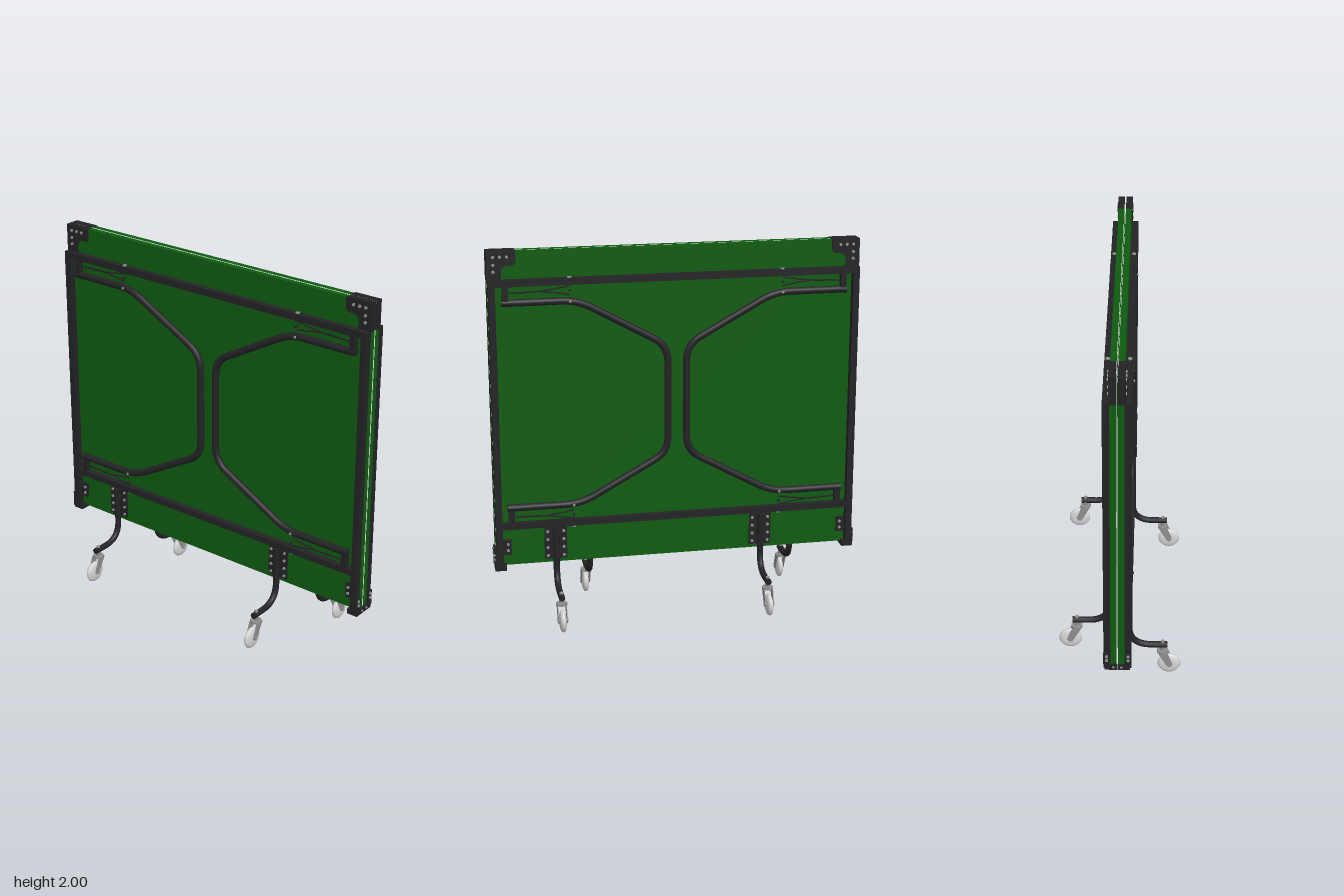
import * as THREE from 'three';

const mat = (name, color) => Object.assign(new THREE.MeshStandardMaterial({ color }), { name });
const green = mat('table green', 0x0f5a10);
const black = mat('black steel', 0x232326);
const metal = mat('bolt metal', 0x8f8f8f);
const wheelGrey = mat('wheel light grey', 0xd6d6d6);
const white = mat('line white', 0xf0f0f0);

function add(parent, name, geometry, material, x = 0, y = 0, z = 0) {
  const mesh = new THREE.Mesh(geometry, material);
  mesh.name = name;
  mesh.position.set(x, y, z);
  parent.add(mesh);
  return mesh;
}

// box given by its lower and upper corners
function box(parent, name, material, x0, x1, y0, y1, z0, z1) {
  return add(parent, name, new THREE.BoxGeometry(x1 - x0, y1 - y0, Math.abs(z1 - z0)), material,
    (x0 + x1) / 2, (y0 + y1) / 2, (z0 + z1) / 2);
}

// short bolt head pointing along one axis
function bolt(parent, x, y, z, axis = 'x', r = 0.008, h = 0.008, material = metal) {
  const m = add(parent, 'bolt', new THREE.CylinderGeometry(r, r, h, 10), material, x, y, z);
  if (axis === 'x') m.rotation.z = Math.PI / 2;
  if (axis === 'z') m.rotation.x = Math.PI / 2;
  return m;
}

// straight runs joined by rounded corners; points are [x, y, z]
function bentTube(points, bend, radius, segments = 90) {
  const p = points.map((a) => new THREE.Vector3(...a));
  const path = new THREE.CurvePath();
  let from = p[0];
  for (let i = 1; i < p.length - 1; i++) {
    const a = p[i].clone().add(p[i - 1].clone().sub(p[i]).setLength(bend));
    const b = p[i].clone().add(p[i + 1].clone().sub(p[i]).setLength(bend));
    path.add(new THREE.LineCurve3(from, a));
    path.add(new THREE.QuadraticBezierCurve3(a, p[i], b));
    from = b;
  }
  path.add(new THREE.LineCurve3(from, p[p.length - 1]));
  return new THREE.TubeGeometry(path, segments, radius, 12, false);
}

// L-shaped plate wrapping a top corner
function topBracket(side, s) {
  const outline = [[0.83, 2], [0.98, 2], [0.98, 1.855], [0.905, 1.855], [0.905, 1.905], [0.885, 1.925], [0.845, 1.925], [0.83, 1.94]];
  const shape = new THREE.Shape(outline.map(([z, y]) => new THREE.Vector2(-s * z, y)));
  const geo = new THREE.ExtrudeGeometry(shape, { depth: 0.036, bevelEnabled: false }).rotateY(Math.PI / 2);
  add(side, 'topCornerBracket', geo, black, 0.004, 0, 0);
  for (const [z, y] of [[0.945, 1.97], [0.91, 1.97], [0.875, 1.97], [0.945, 1.93], [0.945, 1.895]])
    bolt(side, 0.042, y, s * z);
}

function bottomBracket(side, s) {
  box(side, 'bottomCornerCap', black, 0.002, 0.065, 0.288, 0.32, s * 0.925, s * 0.985);
  box(side, 'bottomCornerPlate', black, 0.036, 0.071, 0.3, 0.39, s * 0.97, s * 0.984);
  box(side, 'bottomSidePlate', black, 0.034, 0.046, 0.37, 0.455, s * 0.895, s * 0.945);
  for (const y of [0.35, 0.375]) bolt(side, 0.054, y, s * 0.986, 'z');
  bolt(side, 0.02, 0.306, s * 0.986, 'z', 0.006);
  for (const y of [0.395, 0.43]) bolt(side, 0.048, y, s * 0.913);
}

// folded U-shaped leg with its hinge posts and thin folding stays
function foldedLeg(side, s) {
  const x = 0.053;
  const half = [[0.905, 1.735], [0.52, 1.735], [0.05, 1.475]];
  const all = [...half, ...half.slice().reverse().map(([z, y]) => [z, 2.37 - y])];
  add(side, 'foldedLeg', bentTube(all.map(([z, y]) => [x, y, s * z]), 0.085, 0.019), black);
  for (const flip of [false, true]) {
    const Y = (y) => (flip ? 2.37 - y : y);
    add(side, 'legEndCap', new THREE.CylinderGeometry(0.019, 0.019, 0.008, 12).rotateX(Math.PI / 2), black, x, Y(1.735), s * 0.905);
    add(side, 'hingePost', new THREE.BoxGeometry(0.03, 0.1, 0.03), black, x, Y(1.78), s * 0.89);
    for (const end of [1.812, 1.768]) {
      const stay = new THREE.CatmullRomCurve3([[0.87, 1.785], [0.72, 1.79], [0.56, end]]
        .map(([z, y]) => new THREE.Vector3(x, Y(y), s * z)));
      add(side, 'foldingStay', new THREE.TubeGeometry(stay, 12, 0.004, 6), black);
    }
    bolt(side, 0.064, Y(1.79), s * 0.56, 'x', 0.006, 0.022, black);
    bolt(side, x, Y(1.857), s * 0.56, 'y', 0.011, 0.008);
    bolt(side, 0.073, Y(1.735), s * 0.56, 'x', 0.007, 0.006);
  }
}

// curved arm bolted to the panel, carrying a swivel wheel
function casterArm(side, z) {
  const arm = new THREE.Group();
  arm.name = 'casterArm';
  arm.position.z = z;
  side.add(arm);
  box(arm, 'mountingPlate', black, 0.034, 0.042, 0.33, 0.505, -0.06, 0.06);
  for (const s of [-1, 1])
    for (const y of [0.35, 0.395, 0.44, 0.485]) bolt(arm, 0.044, y, s * 0.043);
  add(arm, 'armTube', bentTube([[0.054, 0.505, 0], [0.054, 0.185, 0], [0.253, 0.185, 0]], 0.115, 0.017, 50), black);
  bolt(arm, 0.054, 0.505, 0, 'y', 0.017, 0.003, black);
  bolt(arm, 0.253, 0.185, 0, 'x', 0.017, 0.003, black);
  bolt(arm, 0.23, 0.204, 0, 'y', 0.01, 0.012);
  bolt(arm, 0.23, 0.162, 0, 'y', 0.014, 0.022, metal);
  bolt(arm, 0.23, 0.146, 0, 'y', 0.031, 0.012, metal);

  // fork cheeks slope outward to the axle
  const cheek = new THREE.Shape([[0.205, 0.145], [0.255, 0.145], [0.284, 0.068], [0.272, 0.05], [0.255, 0.054]]
    .map(([x, y]) => new THREE.Vector2(x, y)));
  for (const s of [-1, 1])
    add(arm, 'forkCheek', new THREE.ExtrudeGeometry(cheek, { depth: 0.004, bevelEnabled: false }), metal, 0, 0, s * 0.023 - 0.002);
  bolt(arm, 0.266, 0.066, 0, 'z', 0.008, 0.058, metal);

  // wheel with a rounded, tapering tread
  const profile = [[0, -0.019], [0.025, -0.018], [0.045, -0.014], [0.056, -0.009], [0.061, 0],
    [0.056, 0.009], [0.045, 0.014], [0.025, 0.018], [0, 0.019]].map(([r, y]) => new THREE.Vector2(r, y));
  add(arm, 'wheel', new THREE.LatheGeometry(profile, 32).rotateX(Math.PI / 2), wheelGrey, 0.266, 0.062, 0);
}

function tableHalf() {
  const side = new THREE.Group();
  side.name = 'tableHalf';
  box(side, 'tablePanel', green, 0.004, 0.035, 0.31, 1.997, -0.975, 0.975);
  // playing lines on the inner face
  for (const s of [-1, 1]) box(side, 'sideLine', white, 0.002, 0.004, 0.31, 1.997, s * 0.955, s * 0.975);
  box(side, 'endLine', white, 0.002, 0.004, 1.977, 1.997, -0.955, 0.955);
  // steel frame on the outer face
  box(side, 'upperRail', black, 0.035, 0.07, 1.82, 1.855, -0.975, 0.975);
  box(side, 'lowerRail', black, 0.035, 0.07, 0.518, 0.551, -0.945, 0.945);
  for (const s of [-1, 1]) {
    box(side, 'framePost', black, 0.035, 0.07, 0.31, 1.855, s * 0.941, s * 0.976);
    topBracket(side, s);
    bottomBracket(side, s);
    foldedLeg(side, s);
  }
  casterArm(side, 0.658);
  casterArm(side, -0.462);
  return side;
}

export function createModel() {
  const model = new THREE.Group();
  model.name = 'foldedTable';
  const left = tableHalf();
  const right = tableHalf();
  right.rotation.y = Math.PI;
  model.add(left, right);
  return model;
}
